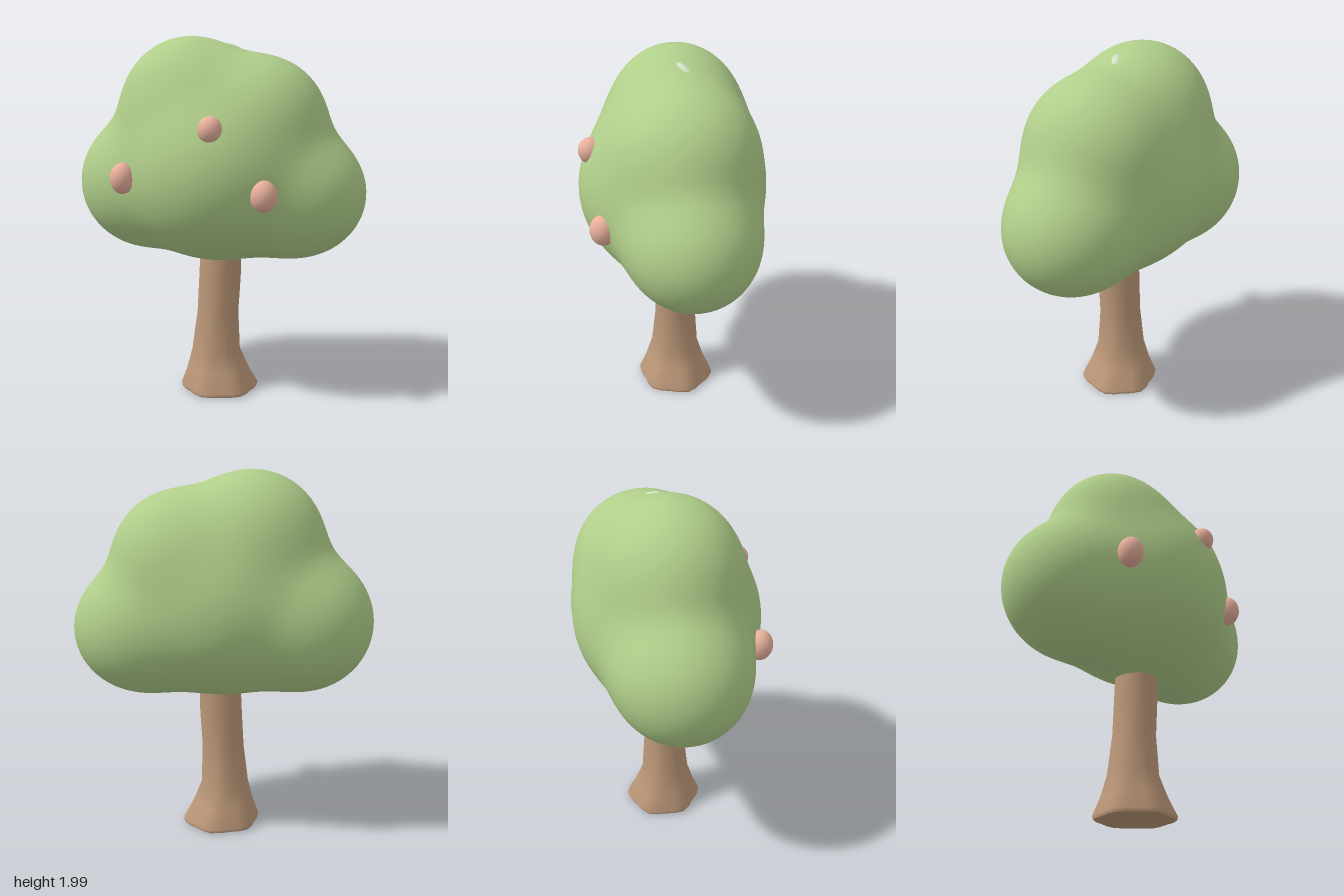
import * as THREE from 'three';
import { mergeVertices } from 'three/addons/utils/BufferGeometryUtils.js';

const paint = (color) => {
  const m = new THREE.MeshStandardMaterial();
  m.color.set(color);
  return m;
};

// Foliage lobes: centre x, y, z and radii x, y, z
const LOBES = [
  [0, 1.26, 0, 0.50, 0.49, 0.50],
  [-0.43, 1.18, -0.09, 0.385, 0.375, 0.36],
  [0.43, 1.14, -0.06, 0.385, 0.355, 0.35],
  [-0.16, 1.6, -0.04, 0.385, 0.39, 0.36],
  [0.24, 1.53, -0.05, 0.35, 0.35, 0.36],
];

// Soft union of all lobes: negative inside, positive outside
function field(p) {
  const k = 0.065;
  let sum = 0;
  for (const [x, y, z, a, b, c] of LOBES) {
    const d = (Math.hypot((p.x - x) / a, (p.y - y) / b, (p.z - z) / c) - 1) * Math.min(a, b, c);
    sum += Math.exp(-d / k);
  }
  return -k * Math.log(sum);
}

// Sphere whose vertices are pushed out to the lobed surface
function canopyGeometry() {
  const sphere = new THREE.IcosahedronGeometry(1, 24);
  sphere.deleteAttribute('normal');
  sphere.deleteAttribute('uv');
  const geo = mergeVertices(sphere, 1e-4);
  const pos = geo.attributes.position;
  const centre = new THREE.Vector3(0, 1.3, -0.03);
  const dir = new THREE.Vector3(), p = new THREE.Vector3();
  for (let i = 0; i < pos.count; i++) {
    dir.fromBufferAttribute(pos, i).normalize();
    let outer = 1.2;
    while (outer > 0.1 && field(p.copy(centre).addScaledVector(dir, outer)) > 0) outer -= 0.02;
    let lo = outer, hi = outer + 0.02;
    for (let s = 0; s < 12; s++) {
      const mid = (lo + hi) / 2;
      if (field(p.copy(centre).addScaledVector(dir, mid)) > 0) hi = mid; else lo = mid;
    }
    p.copy(centre).addScaledVector(dir, lo);
    pos.setXYZ(i, p.x, p.y, p.z);
  }
  geo.computeVertexNormals();
  return geo;
}

// Trunk rings: y, centre x, centre z, radius, root lobing
const RINGS = [
  [0, 0.01, -0.024, 0.204, 0.05],
  [0.02, 0.01, -0.024, 0.211, 0.05],
  [0.12, 0.0, -0.021, 0.168, 0.04],
  [0.23, -0.01, -0.02, 0.134, 0.02],
  [0.45, 0.0, -0.022, 0.117, 0],
  [0.65, 0.012, -0.022, 0.118, 0],
  [0.95, 0.02, -0.022, 0.113, 0],
];

function trunkGeometry() {
  const n = 24, verts = [], index = [];
  for (const [y, cx, cz, r, lobe] of RINGS) {
    for (let i = 0; i < n; i++) {
      const a = (i / n) * Math.PI * 2;
      const rr = r * (1 + lobe * Math.cos(6 * a + Math.PI / 2));
      verts.push(cx + rr * Math.cos(a), y, cz + rr * Math.sin(a));
    }
  }
  for (let j = 0; j < RINGS.length - 1; j++) {
    for (let i = 0; i < n; i++) {
      const a = j * n + i, b = j * n + (i + 1) % n;
      index.push(a, a + n, b, b, a + n, b + n);
    }
  }
  // Underside, with its own vertices so the bottom edge stays sharp
  const start = verts.length / 3;
  verts.push(...verts.slice(0, n * 3), 0.01, 0, -0.024);
  for (let i = 0; i < n; i++) index.push(start + n, start + i, start + (i + 1) % n);
  const geo = new THREE.BufferGeometry();
  geo.setAttribute('position', new THREE.Float32BufferAttribute(verts, 3));
  geo.setIndex(index);
  geo.computeVertexNormals();
  return geo;
}

export function createModel() {
  const tree = new THREE.Group();
  tree.name = 'fruitTree';
  const add = (name, geo, mat) => {
    const mesh = new THREE.Mesh(geo, mat);
    mesh.name = name;
    tree.add(mesh);
    return mesh;
  };

  add('trunk', trunkGeometry(), paint(0xbb9778));
  add('canopy', canopyGeometry(), paint(0xb0ce8a));

  // Fruits half sunk into the foliage
  const fruitGeo = new THREE.SphereGeometry(1, 20, 14);
  const fruitMat = paint(0xe8b09c);
  [
    [-0.43, 1.245, 0.345, 0.066, 0.083, 0.07],
    [0.065, 1.51, 0.43, 0.063, 0.07, 0.065],
    [0.33, 1.18, 0.385, 0.07, 0.083, 0.072],
  ].forEach(([x, y, z, a, b, c], i) => {
    const fruit = add('fruit' + (i + 1), fruitGeo, fruitMat);
    fruit.position.set(x, y, z);
    fruit.scale.set(a, b, c);
  });

  // Small pale leaf lying in the hollow on top
  const leaf = add('topLeaf', new THREE.SphereGeometry(1, 14, 8), paint(0xcfe3c4));
  leaf.position.set(0.08, 1.93, -0.055);
  leaf.scale.set(0.06, 0.014, 0.024);
  leaf.rotation.set(0, 0.54, -0.35);
  return tree;
}
